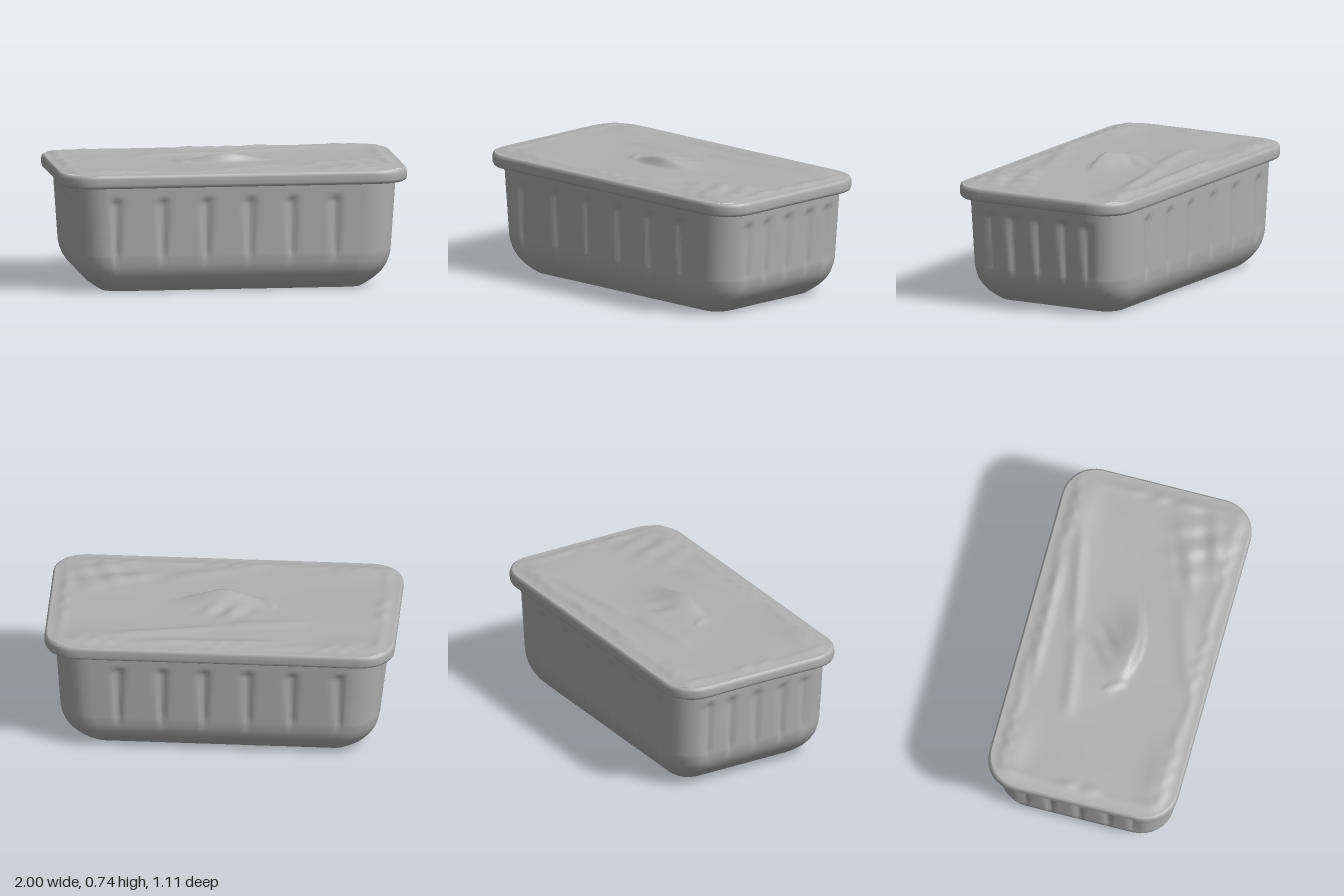
import * as THREE from 'three';
import { mergeVertices } from 'three/addons/utils/BufferGeometryUtils.js';

const LONG = 84, SHORT = 48, ARC = 8;

// Rounded rectangle outline with a fixed number of points, from +x round towards +z
function outline(hx, hz, r) {
  r = Math.min(r, hx, hz);
  const pts = [], sx = hx - r, sz = hz - r;
  const side = (x0, z0, x1, z1, n) => {
    for (let i = 0; i < n; i++) pts.push([x0 + (x1 - x0) * i / n, z0 + (z1 - z0) * i / n]);
  };
  const arc = (cx, cz, a0) => {
    for (let i = 0; i < ARC; i++) {
      const a = a0 + Math.PI / 2 * i / ARC;
      pts.push([cx + r * Math.cos(a), cz + r * Math.sin(a)]);
    }
  };
  side(hx, -sz, hx, sz, SHORT);
  arc(sx, sz, 0);
  side(sx, hz, -sx, hz, LONG);
  arc(-sx, sz, Math.PI / 2);
  side(-hx, sz, -hx, -sz, SHORT);
  arc(-sx, -sz, Math.PI);
  side(-sx, -hz, sx, -hz, LONG);
  arc(sx, -sz, Math.PI * 1.5);
  return pts;
}

// Skin a list of [y, half width, half depth, corner radius] sections; shape() may move each point
function loft(rows, shape = (p) => p) {
  const pos = [], idx = [];
  let n = 0;
  for (const [y, hx, hz, r] of rows) {
    const ring = outline(hx, hz, r);
    n = ring.length;
    for (const [x, z] of ring) pos.push(...shape([x, y, z], hx, hz));
  }
  for (let i = 0; i < rows.length - 1; i++) {
    for (let j = 0; j < n; j++) {
      const k = (j + 1) % n, a = i * n + j, b = i * n + k, c = a + n, d = b + n;
      idx.push(a, c, b, b, c, d);
    }
  }
  let g = new THREE.BufferGeometry();
  g.setAttribute('position', new THREE.Float32BufferAttribute(pos, 3));
  g.setIndex(idx);
  g = mergeVertices(g, 1e-4);
  g.computeVertexNormals();
  return g;
}

const step = THREE.MathUtils.smoothstep;
const gauss = (v, w) => Math.exp(-(v * v) / (w * w));

// Shallow vertical pleats pressed into the four walls
const longPleats = [-0.69, -0.42, -0.17, 0.08, 0.32, 0.57];
const shortPleats = [-0.32, -0.17, 0, 0.17, 0.32];
function pleat([x, y, z], hx, hz) {
  const fade = step(y, 0.15, 0.24) * (1 - step(y, 0.52, 0.55));
  const width = 0.016 + 0.014 * step(y, 0.2, 0.54);
  const depth = (list, u) => 0.016 * fade * list.reduce((s, c) => s + gauss(u - c, width), 0);
  if (Math.abs(z) > hz - 1e-4) z -= Math.sign(z) * depth(longPleats, x);
  if (Math.abs(x) > hx - 1e-4) x -= Math.sign(x) * depth(shortPleats, z);
  return [x, y, z];
}

// Raised crease along a line between two points on the lid
function crease(x, z, x0, z0, x1, z1, width, height) {
  const dx = x1 - x0, dz = z1 - z0, len = Math.hypot(dx, dz);
  const t = ((x - x0) * dx + (z - z0) * dz) / (len * len);
  const d = ((z - z0) * dx - (x - x0) * dz) / len;
  return height * gauss(d, width) * step(t, -0.1, 0.25) * (1 - step(t, 0.75, 1.1));
}

// Crumpled foil: centre pinch, long creases, a crushed corner and a rippled border
function crumple([x, y, z]) {
  const inset = Math.min(1 - Math.abs(x), 0.555 - Math.abs(z));
  const inside = step(inset, 0.02, 0.12);
  let h = 0.004 * Math.sin(5 * x + 2 * z) * Math.sin(7 * z - 2 * x) + 0.003;
  // Pinch with a steep curved front
  const front = 0.095 - 0.9 * x * x;
  const slope = z > front ? gauss(z - front, 0.025) : gauss(z - front, 0.13);
  h += 0.05 * gauss(x, 0.17) * slope;
  h += 0.008 * gauss(x + 0.02, 0.14) * gauss(z + 0.08, 0.06) * Math.sin(40 * x + 25 * z);
  // Long creases
  h += crease(x, z, -0.5, -0.18, 0.0, -0.25, 0.04, 0.012);
  h += crease(x, z, 0.0, -0.27, 0.62, -0.39, 0.035, 0.014);
  h += crease(x, z, -0.35, -0.43, 0.4, -0.45, 0.03, 0.012);
  h += crease(x, z, -0.2, 0.46, 0.35, 0.27, 0.05, 0.01);
  h += crease(x, z, 0.4, 0.32, 0.85, 0.12, 0.04, 0.012);
  h += crease(x, z, -0.29, -0.02, -0.22, 0.1, 0.015, 0.01);
  // Crushed corner
  h += gauss(x - 0.7, 0.2) * gauss(z - 0.3, 0.15) *
    (0.012 + 0.011 * Math.sin(26 * x + 14 * z) * Math.cos(30 * z - 12 * x));
  // Swollen left and right ends near the border
  h += 0.014 * gauss(Math.abs(x) - 0.74, 0.16) * gauss(Math.abs(z) - 0.42, 0.08);
  // Ripples where the foil is folded over the rim
  const ripple = Math.sin(34 * x + 3 * Math.sin(9 * x)) * Math.cos(27 * z + 2 * Math.sin(11 * z));
  h += gauss(inset - 0.075, 0.035) * (0.008 + 0.008 * ripple);
  return [x, y + inside * h, z];
}

export function createModel() {
  const group = new THREE.Group();
  const foil = new THREE.MeshStandardMaterial({ color: 0xb0b0b0 });
  foil.name = 'foilGrey';
  const add = (name, geometry) => {
    const mesh = new THREE.Mesh(geometry, foil);
    mesh.name = name;
    group.add(mesh);
  };

  // Flat base
  add('base', loft([[0, 0.36, 0, 0], [0, 0.75, 0.39, 0.1]]));

  // Tray: curved foot, then walls flaring slightly to the rim
  const walls = [
    [0, 0.75, 0.39, 0.1], [0.025, 0.79, 0.425, 0.13], [0.055, 0.83, 0.455, 0.15],
    [0.09, 0.865, 0.478, 0.17], [0.125, 0.888, 0.494, 0.18],
    [0.16, 0.903, 0.503, 0.19], [0.2, 0.912, 0.508, 0.19],
  ];
  for (let i = 1; i <= 24; i++) {
    const t = i / 24;
    walls.push([0.2 + 0.42 * t, 0.912 + 0.028 * t, 0.508 + 0.012 * t, 0.19]);
  }
  add('tray', loft(walls, pleat));

  // Rolled rim, with its underside slightly uneven
  const rim = [
    [0.612, 0.93, 0.51, 0.18], [0.61, 0.985, 0.542, 0.18], [0.616, 0.995, 0.551, 0.19],
    [0.63, 1, 0.555, 0.19], [0.665, 1, 0.555, 0.19], [0.68, 0.997, 0.552, 0.19],
    [0.686, 0.988, 0.543, 0.185],
  ];
  add('rim', loft(rim, ([x, y, z]) =>
    [x, y + (y < 0.635 ? 0.006 * Math.max(0, Math.sin(4 * x - 1) * Math.cos(3 * z)) : 0), z]));

  // Foil lid, closing inwards to a centre line
  const lid = [];
  for (let i = 0; i <= 44; i++) {
    const t = 0.012 + 0.543 * i / 44;
    lid.push([0.686, 1 - t, 0.555 - t, Math.max(0, 0.197 - t)]);
  }
  add('lid', loft(lid, crumple));

  return group;
}
